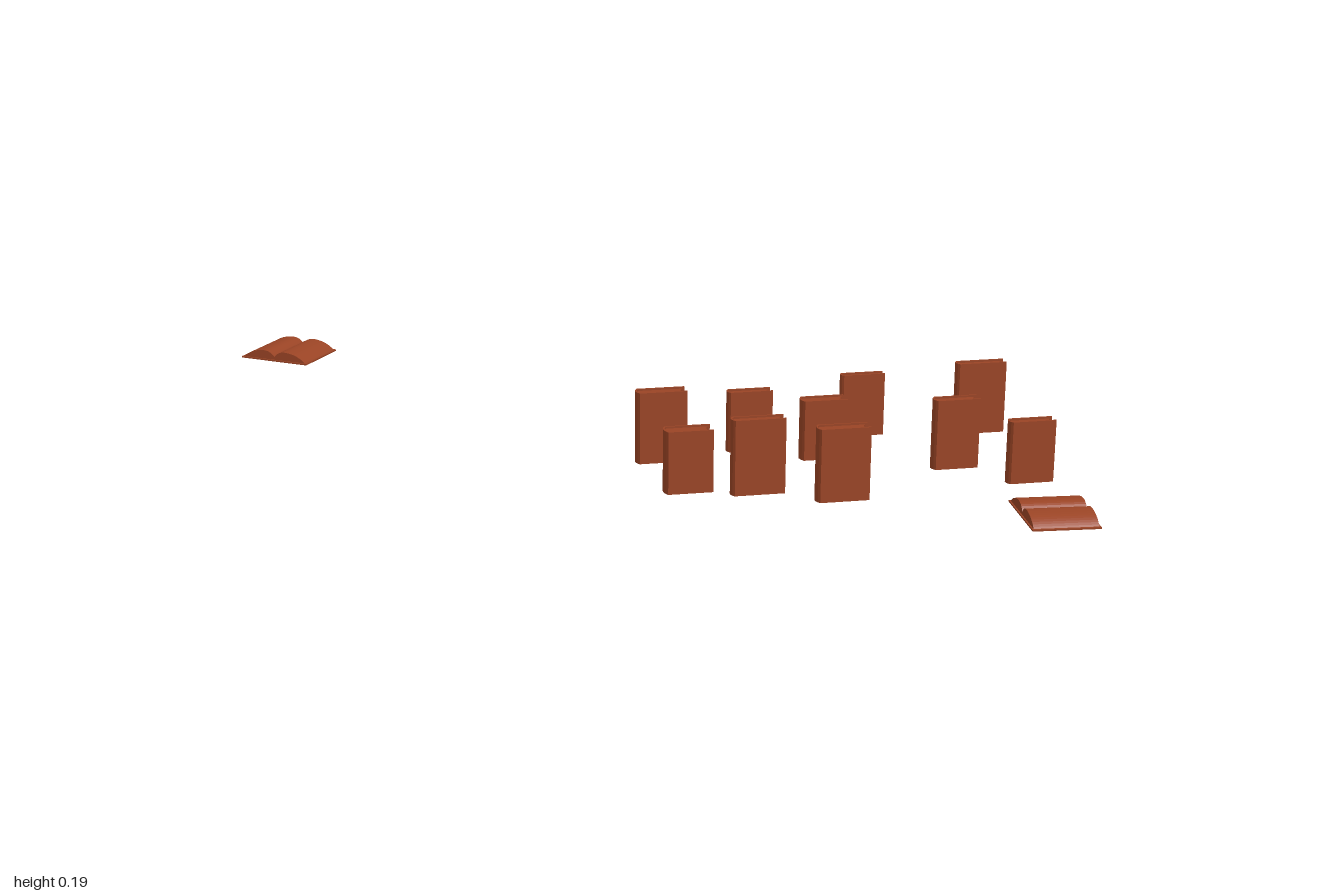
import * as THREE from 'three';

const material = new THREE.MeshStandardMaterial({ color: 0x9a4425, side: THREE.DoubleSide });

// Extrudes a plan outline upwards (y) from the given base
function upright(shape, base, height) {
  const g = new THREE.ExtrudeGeometry(shape, { depth: height, bevelEnabled: false, curveSegments: 6 });
  return g.rotateX(-Math.PI / 2).translate(0, base, 0);
}

function add(group, name, geometry) {
  const mesh = new THREE.Mesh(geometry, material);
  mesh.name = name;
  group.add(mesh);
}

// Standing book: rounded spine at -x, hollow fore-edge at +x
function closedBook(x0, x1, z0, z1, height) {
  const book = new THREE.Group();
  book.name = 'closedBook';
  const w = (x1 - x0) / 2, d = (z1 - z0) / 2, t = 0.004, bulge = 0.008;

  // Cover: two boards joined by a curved spine
  const cover = new THREE.Shape();
  cover.moveTo(w, d);
  cover.lineTo(-w + bulge, d);
  cover.quadraticCurveTo(-w - bulge, 0, -w + bulge, -d);
  cover.lineTo(w, -d);
  cover.lineTo(w, -d + t);
  cover.lineTo(-w + bulge + t, -d + t);
  cover.quadraticCurveTo(-w - bulge + t, 0, -w + bulge + t, d - t);
  cover.lineTo(w, d - t);
  cover.closePath();
  add(book, 'cover', upright(cover, 0, height));

  // Page block, set back from the cover edges
  const p = d - t, left = -w + bulge + t, right = w - 0.005;
  const pages = new THREE.Shape();
  pages.moveTo(left, p);
  pages.quadraticCurveTo(left - 2 * bulge, 0, left, -p);
  pages.lineTo(right, -p);
  pages.quadraticCurveTo(right - 2 * bulge, 0, right, p);
  pages.closePath();
  add(book, 'pages', upright(pages, 0.005, height - 0.01));

  book.position.set((x0 + x1) / 2, 0, (z0 + z1) / 2);
  return book;
}

// Book lying open: spine along local z, two page humps across local x
function openBook(x, y, z, angle) {
  const book = new THREE.Group();
  book.name = 'openBook';
  const block = (shape, length) =>
    new THREE.ExtrudeGeometry(shape, { depth: length, bevelEnabled: false, curveSegments: 8 })
      .translate(0, 0, -length / 2);

  for (const s of [-1, 1]) {
    const pages = new THREE.Shape();
    pages.moveTo(0, 0.002);
    pages.lineTo(0, 0.012);
    pages.bezierCurveTo(s * 0.012, 0.029, s * 0.03, 0.03, s * 0.045, 0.028);
    pages.bezierCurveTo(s * 0.07, 0.025, s * 0.088, 0.016, s * 0.101, 0.003);
    pages.lineTo(s * 0.101, 0.002);
    pages.closePath();
    add(book, s < 0 ? 'rightPages' : 'leftPages', block(pages, 0.16));
  }
  add(book, 'cover', new THREE.BoxGeometry(0.213, 0.004, 0.168).translate(0, 0.002, 0));

  book.position.set(x, y, z);
  book.rotation.y = angle;
  return book;
}

export function createModel() {
  const model = new THREE.Group();
  model.name = 'scatteredBooks';

  // x from, x to, z from, z to, height
  const closed = [
    [-0.02, 0.112, 0.153, 0.197, 0.19],
    [0.23, 0.35, 0.113, 0.147, 0.163],
    [0.555, 0.675, 0.046, 0.072, 0.17],
    [0.863, 1.0, 0.075, 0.108, 0.195],
    [0.402, 0.523, 0.202, 0.248, 0.16],
    [0.713, 0.833, 0.343, 0.382, 0.184],
    [0.863, 0.983, 0.487, 0.522, 0.162],
    [0.004, 0.126, 0.391, 0.442, 0.162],
    [0.163, 0.299, 0.447, 0.483, 0.195],
    [0.357, 0.49, 0.527, 0.57, 0.188],
  ];
  for (const c of closed) model.add(closedBook(...c));

  model.add(openBook(0.897, 0, 0.756, -1.65));
  model.add(openBook(-0.862, 0.076, -0.747, -0.59));
  return model;
}
